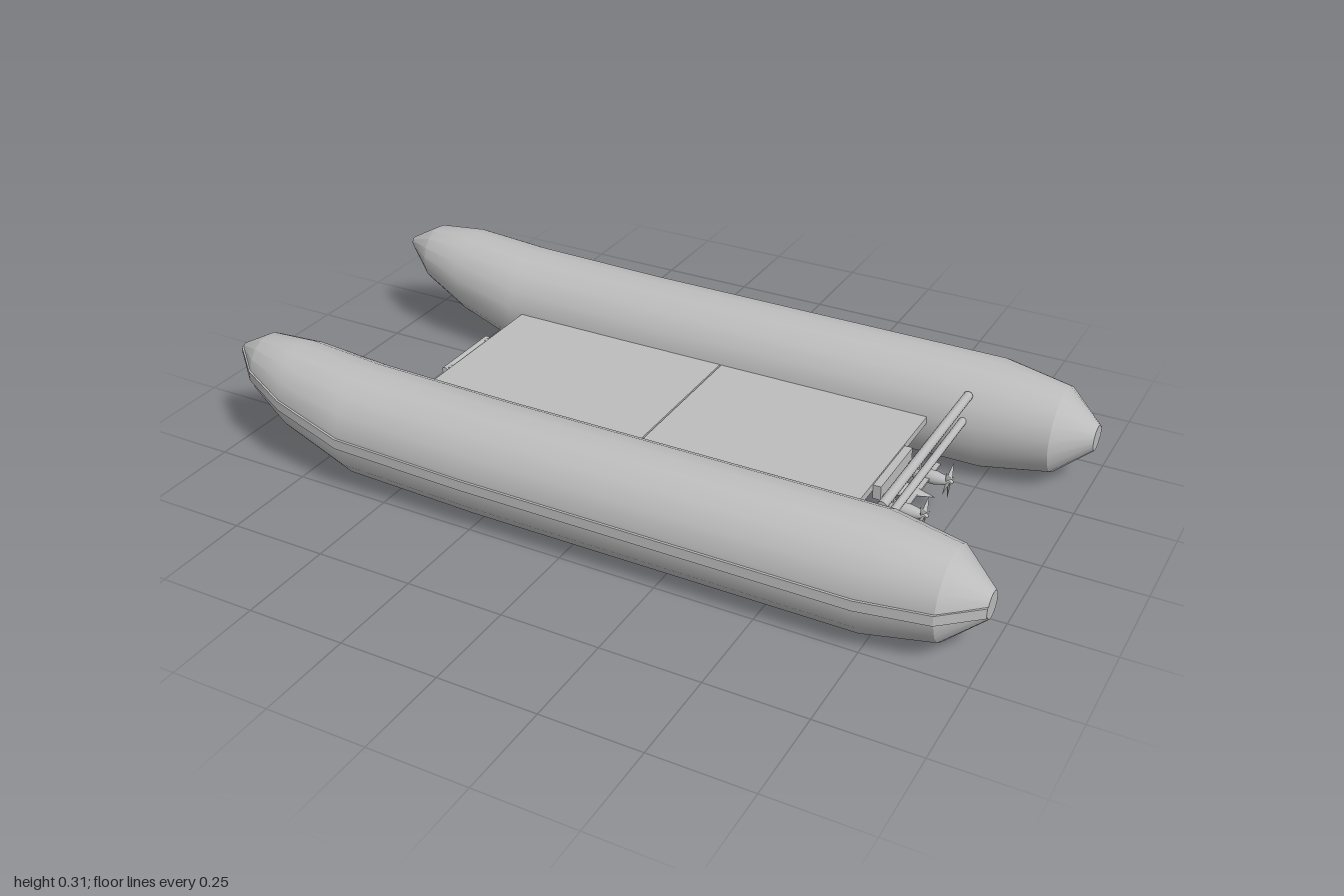
import * as THREE from 'three';
import { toCreasedNormals } from 'three/addons/utils/BufferGeometryUtils.js';

const grey = new THREE.MeshStandardMaterial({ color: 0xbcbcbc });
grey.name = 'light grey';

// hull stations: x, centre height, centre z, radius
const STATIONS = [
  [-1, 0.245, 0.37, 0.013], [-0.92, 0.225, 0.377, 0.078], [-0.8, 0.194, 0.385, 0.115],
  [-0.61, 0.152, 0.388, 0.139], [-0.25, 0.143, 0.388, 0.141], [0.74, 0.142, 0.388, 0.141],
  [0.91, 0.142, 0.388, 0.111], [1, 0.142, 0.388, 0.033],
];

// skin over closed rings running along +x, with both ends capped
function loft(rings, crease) {
  const n = rings[0].length, pos = rings.flat(2), idx = [];
  for (let i = 0; i < rings.length - 1; i++) {
    for (let j = 0; j < n; j++) {
      const a = i * n + j, b = i * n + (j + 1) % n;
      idx.push(a, b, a + n, b, b + n, a + n);
    }
  }
  const last = (rings.length - 1) * n;
  for (let j = 1; j < n - 1; j++) {
    idx.push(0, j + 1, j, last, last + j, last + j + 1);
  }
  const g = new THREE.BufferGeometry();
  g.setAttribute('position', new THREE.Float32BufferAttribute(pos, 3));
  g.setIndex(idx);
  return toCreasedNormals(g, crease);
}

function add(parent, name, geometry, x = 0, y = 0, z = 0) {
  const m = new THREE.Mesh(geometry, grey);
  m.name = name;
  m.position.set(x, y, z);
  parent.add(m);
  return m;
}

const box = (x, y, z) => new THREE.BoxGeometry(x, y, z);
const rodZ = (r, len) => new THREE.CylinderGeometry(r, r, len, 12).rotateX(Math.PI / 2);

// ring order must flip on the mirrored side
const sided = (ring, side) => (side < 0 ? ring.reverse() : ring);

function pontoon(side) {
  const g = new THREE.Group();
  g.name = side > 0 ? 'frontPontoon' : 'rearPontoon';
  const N = 18;
  const rings = STATIONS.map(([x, y, z, r]) => sided(Array.from({ length: N }, (_, j) => {
    const a = (j / N) * Math.PI * 2;
    return [x, y + r * Math.cos(a), side * (z + r * Math.sin(a))];
  }), side));
  add(g, 'tube', loft(rings, 0.52));

  // rubbing strip along the outer side
  const strip = STATIONS.map(([x, y, z, r], i) => {
    const h = i === 0 ? 0.008 : 0.013, out = z + r + 0.004, inn = z + r * 0.8;
    return sided([[x, y + h, side * out], [x, y - h, side * out],
      [x, y - h, side * inn], [x, y + h, side * inn]], side);
  });
  add(g, 'rubbingStrip', loft(strip, 0.5));
  return g;
}

function motor(side) {
  const g = new THREE.Group();
  g.name = side > 0 ? 'frontMotor' : 'rearMotor';
  g.position.set(0.685, 0.107, side * 0.083);
  // streamlined casing, nose toward the bow
  const profile = [[0, -0.058], [0.01, -0.05], [0.017, -0.025], [0.017, 0.015], [0.009, 0.05], [0, 0.062]]
    .map(([r, y]) => new THREE.Vector2(r, y));
  add(g, 'casing', new THREE.LatheGeometry(profile, 12).rotateZ(-Math.PI / 2));
  // propeller
  for (let i = 0; i < 5; i++) {
    const hub = new THREE.Group();
    hub.name = 'propellerBlade';
    hub.rotation.x = (i / 5) * Math.PI * 2 + Math.PI;
    hub.position.x = 0.048;
    const blade = add(hub, 'blade', new THREE.ConeGeometry(0.009, 0.042, 6).scale(1, 1, 0.3), 0, 0.026, 0);
    blade.rotation.y = Math.PI / 4;
    g.add(hub);
  }
  return g;
}

export function createModel() {
  const model = new THREE.Group();
  model.name = 'catamaran';
  for (const side of [1, -1]) model.add(pontoon(side), motor(side));

  // two deck panels with a narrow seam
  add(model, 'bowDeck', box(0.608, 0.02, 0.52), -0.264, 0.155, 0);
  add(model, 'sternDeck', box(0.566, 0.02, 0.52), 0.327, 0.155, 0);
  add(model, 'deckSeamBeam', box(0.04, 0.016, 0.5), 0.042, 0.15, 0);
  for (const z of [-0.21, 0.21]) add(model, 'deckRunner', box(1.17, 0.008, 0.08), 0.02, 0.143, z);

  // cross tubes at the stern
  add(model, 'upperCrossTube', rodZ(0.012, 0.56), 0.7, 0.234, 0);
  add(model, 'lowerCrossTube', rodZ(0.01, 0.56), 0.7, 0.175, 0);

  // bow handle
  add(model, 'bowHandle', rodZ(0.009, 0.2), -0.583, 0.155, 0);
  for (const z of [-0.085, 0.085]) add(model, 'handleBracket', box(0.025, 0.014, 0.014), -0.572, 0.155, z);

  // motor mount, tail plane and its struts
  add(model, 'motorMount', box(0.02, 0.036, 0.2), 0.621, 0.144, 0);
  add(model, 'tailPlane', box(0.03, 0.006, 0.29), 0.675, 0.107, 0);
  for (const z of [-0.083, 0.083]) add(model, 'motorStrut', box(0.04, 0.01, 0.014), 0.64, 0.126, z);

  // slender body slung under the deck, with a cross wing
  const body = [[0, -0.42], [0.02, -0.38], [0.04, -0.27], [0.052, -0.1], [0.052, 0.15], [0.035, 0.32], [0, 0.42]]
    .map(([r, y]) => new THREE.Vector2(r, y));
  add(model, 'underBody', new THREE.LatheGeometry(body, 16).rotateZ(-Math.PI / 2).scale(1, 0.42, 1), 0.31, 0.107, 0);
  add(model, 'wing', box(0.08, 0.006, 0.52), 0.23, 0.107, 0);
  add(model, 'bodyStrut', box(0.08, 0.04, 0.012), 0.23, 0.134, 0);
  return model;
}
